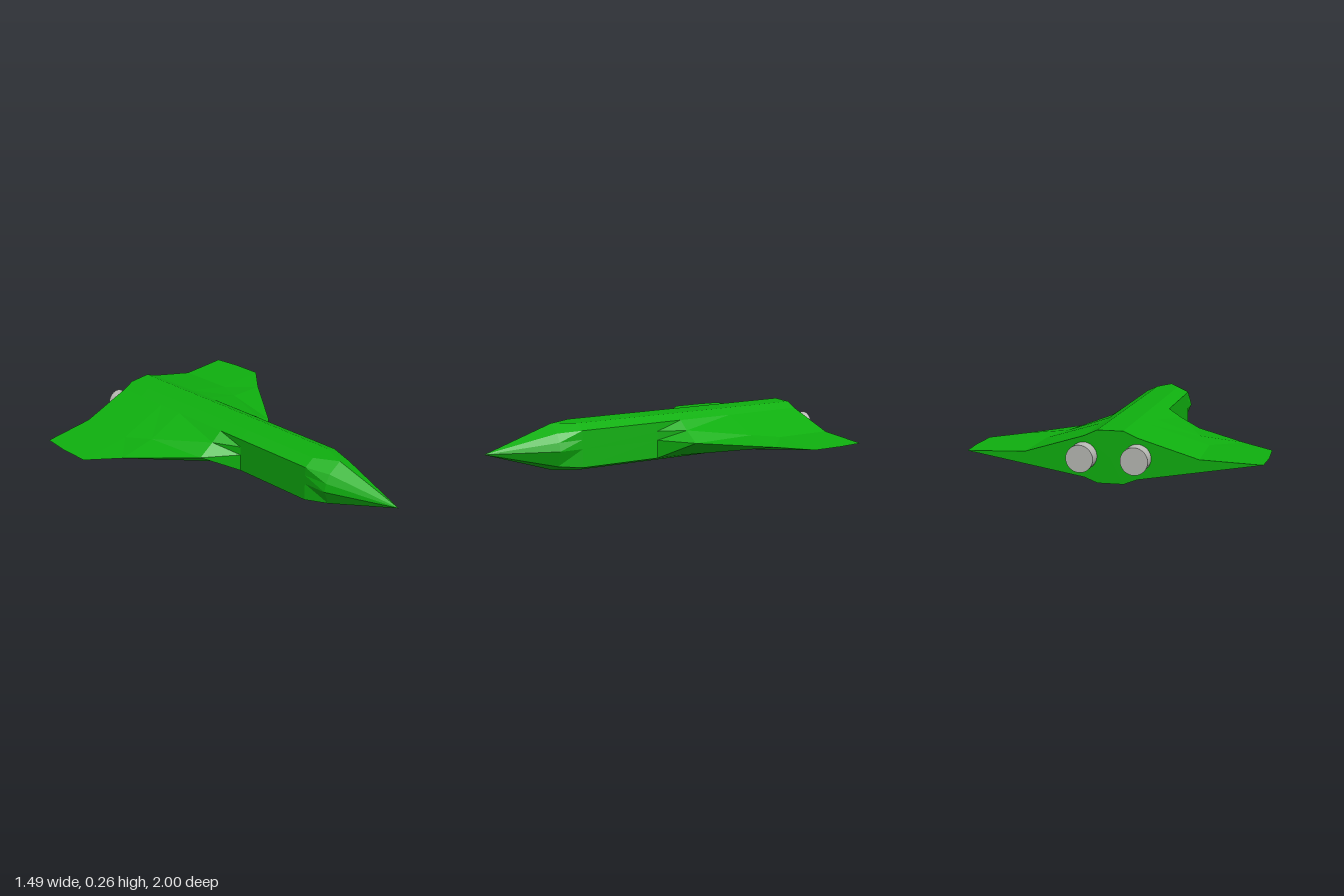
import * as THREE from 'three';

const MID = 0.133;

// Half cross-section from top to bottom: deck, shoulder, wing root crease, wing edge, chine, keel
const section = (z, crease, creaseY, edge) => ({
  z,
  half: [[0.065, 0.265], [0.13, 0.235], [crease, creaseY], [edge, MID], [0.13, 0.03], [0.065, 0.004]],
});

const SECTIONS = [
  { z: 1, half: Array(6).fill([0, MID]) },
  { z: 0.62, half: [[0, 0.265], [0.09, 0.225], [0.118, 0.18], [0.13, MID], [0.09, 0.042], [0, 0.004]] },
  section(0.49, 0.13, 0.185, 0.13),
  section(0.03, 0.13, 0.185, 0.13),
  section(-0.12, 0.20, 0.188, 0.30),
  section(-0.45, 0.36, 0.157, 0.59),
  section(-0.6, 0.43, 0.144, 0.745),
  section(-0.78, 0.43, 0.144, 0.745),
  section(-0.925, 0.43, 0.144, 0.73),
];

// Lofts the mirrored sections into one faceted hull, closed at the stern
function hullGeometry() {
  const rings = SECTIONS.map(({ z, half }) => {
    const right = half.map(([x, y]) => new THREE.Vector3(x, y, z));
    const left = half.map(([x, y]) => new THREE.Vector3(-x, y, z)).reverse();
    return [...right, ...left];
  });
  const positions = [];
  const triangle = (a, b, c) => {
    if (new THREE.Triangle(a, b, c).getArea() < 1e-7) return;
    for (const p of [a, b, c]) positions.push(p.x, p.y, p.z);
  };
  const n = rings[0].length;
  for (let i = 0; i < rings.length - 1; i++) {
    for (let j = 0; j < n; j++) {
      const k = (j + 1) % n;
      const [a, b, c, d] = [rings[i][j], rings[i][k], rings[i + 1][k], rings[i + 1][j]];
      // Mirror the diagonal on the left side
      if (j < n / 2) { triangle(a, b, d); triangle(b, c, d); }
      else { triangle(a, b, c); triangle(a, c, d); }
    }
  }
  const stern = rings[rings.length - 1];
  const centre = new THREE.Vector3(0, MID, stern[0].z);
  stern.forEach((p, j) => triangle(centre, p, stern[(j + 1) % n]));

  const geometry = new THREE.BufferGeometry();
  geometry.setAttribute('position', new THREE.Float32BufferAttribute(positions, 3));
  geometry.computeVertexNormals();
  return geometry;
}

export function createModel() {
  const green = new THREE.MeshStandardMaterial({ color: 0x0fb00f });
  green.name = 'green';
  const grey = new THREE.MeshStandardMaterial({ color: 0xb9bab5 });
  grey.name = 'grey';

  const model = new THREE.Group();
  model.name = 'deltaWingCraft';

  const hull = new THREE.Mesh(hullGeometry(), green);
  hull.name = 'hullAndWings';
  model.add(hull);

  // Pair of engine nozzles at the stern
  const nozzle = new THREE.CylinderGeometry(0.067, 0.067, 0.1, 32).rotateX(Math.PI / 2);
  for (const side of [1, -1]) {
    const engine = new THREE.Mesh(nozzle, grey);
    engine.name = side > 0 ? 'leftEngine' : 'rightEngine';
    engine.position.set(side * 0.133, 0.137, -0.95);
    model.add(engine);
  }
  return model;
}
